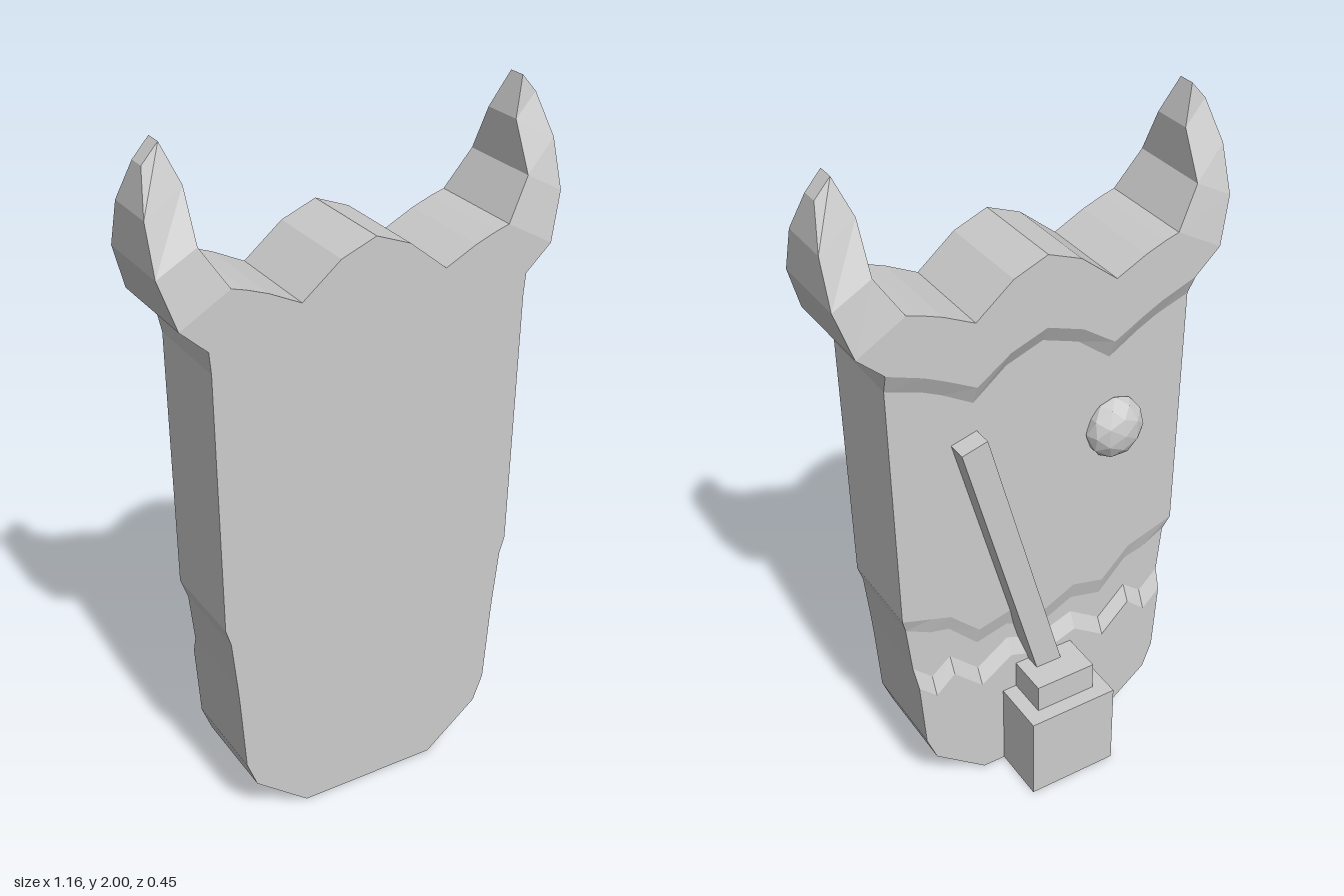
import * as THREE from 'three';

const material = new THREE.MeshStandardMaterial({ color: 0xcccccc, flatShading: true });
const FRONT = 0.225;

function addMesh(parent, name, geometry, x = 0, y = 0, z = 0) {
  const mesh = new THREE.Mesh(geometry, material);
  mesh.name = name;
  mesh.position.set(x, y, z);
  parent.add(mesh);
  return mesh;
}

// Skin a stack of equal loops, listed from top to bottom, and cap both ends.
function loft(loops) {
  const pos = [];
  const quad = (a, b, c, d) => pos.push(...a, ...b, ...c, ...a, ...c, ...d);
  const n = loops[0].length;
  for (let k = 0; k < loops.length - 1; k++) {
    const top = loops[k], low = loops[k + 1];
    for (let i = 0; i < n; i++) {
      const j = (i + 1) % n;
      quad(top[i], top[j], low[j], low[i]);
    }
  }
  const first = loops[0], last = loops[loops.length - 1];
  for (let i = 0; i < n / 2 - 1; i++) {
    quad(first[n - 1 - i], first[n - 2 - i], first[i + 1], first[i]);
    quad(last[i], last[i + 1], last[n - 2 - i], last[n - 1 - i]);
  }
  const g = new THREE.BufferGeometry();
  g.setAttribute('position', new THREE.Float32BufferAttribute(pos, 3));
  g.computeVertexNormals();
  return g;
}

// Mirror a half row of heights into a loop: carved back edge, then flat front edge.
function bodyLoop({ xs, ys, z }) {
  const half = xs.map((x, i) => [x, ys[i]]);
  const row = [...half.slice(1).reverse().map(([x, y]) => [-x, y]), ...half];
  return [
    ...row.map(([x, y]) => [x, y, z]),
    ...row.slice().reverse().map(([x, y]) => [x, y, FRONT]),
  ];
}

function bodyGeometry() {
  const cols = edge => [0, 0.11, 0.21, 0.3, 0.36, edge];
  const rows = [
    // brow
    { xs: [0, 0.1, 0.21, 0.3, 0.36, 0.4], ys: [1.71, 1.67, 1.58, 1.625, 1.648, 1.66], z: -0.075 },
    { xs: cols(0.54), ys: [1.6, 1.56, 1.48, 1.53, 1.56, 1.58], z: -0.075 },
    { xs: cols(0.465), ys: [1.5, 1.46, 1.39, 1.44, 1.47, 1.51], z: -0.075 },
    { xs: cols(0.46), ys: [1.45, 1.41, 1.33, 1.385, 1.415, 1.45], z: -0.05 },
    // upper lip and mouth groove
    { xs: cols(0.45), ys: [0.52, 0.575, 0.55, 0.64, 0.66, 0.69], z: -0.05 },
    { xs: cols(0.435), ys: [0.46, 0.515, 0.49, 0.585, 0.6, 0.64], z: -0.035 },
    { xs: cols(0.42), ys: [0.42, 0.46, 0.39, 0.48, 0.43, 0.49], z: -0.035 },
    // toothed lower lip and chin
    { xs: cols(0.415), ys: [0.37, 0.41, 0.34, 0.43, 0.375, 0.43], z: -0.06 },
    { xs: cols(0.4), ys: [0.21, 0.21, 0.21, 0.21, 0.21, 0.21], z: -0.06 },
    { xs: [0, 0.1, 0.2, 0.27, 0.33, 0.37], ys: [0.13, 0.13, 0.13, 0.13, 0.13, 0.13], z: -0.06 },
    { xs: [0, 0.05, 0.1, 0.14, 0.18, 0.21], ys: [0, 0, 0, 0, 0, 0], z: -0.06 },
  ];
  return loft(rows.map(bodyLoop));
}

// Horn rungs from tip to root: inner point, outer point and their half depths.
function hornGeometry(side) {
  const rungs = [
    [[0.51, 2.0, 0.025], [0.555, 1.95, 0.025]],
    [[0.47, 1.9, 0.06], [0.58, 1.84, 0.08]],
    [[0.47, 1.77, 0.125], [0.58, 1.71, 0.125]],
    [[0.4, 1.66, 0.15], [0.54, 1.58, 0.15]],
  ];
  return loft(rungs.map(([inner, outer]) => {
    const [a, b] = side > 0 ? [inner, outer] : [outer, inner];
    const at = ([x, y, h], dir) => [side * x, y, 0.075 + dir * h];
    return [at(a, -1), at(b, -1), at(b, 1), at(a, 1)];
  }));
}

export function createModel() {
  const group = new THREE.Group();
  group.name = 'hornedMask';

  addMesh(group, 'maskBody', bodyGeometry());
  addMesh(group, 'leftHorn', hornGeometry(1));
  addMesh(group, 'rightHorn', hornGeometry(-1));

  // Stepped block under the chin
  addMesh(group, 'lowerBlock', new THREE.BoxGeometry(0.28, 0.28, 0.19), 0, 0.14, -0.135);
  addMesh(group, 'upperBlock', new THREE.BoxGeometry(0.19, 0.1, 0.15), 0, 0.32, -0.11);

  // Leaning bar from the block up to the left eye
  const dx = 0.235, dy = 0.88;
  const bar = addMesh(group, 'leaningBar',
    new THREE.BoxGeometry(0.08, Math.hypot(dx, dy), 0.08), dx / 2 + 0.005, 0.35 + dy / 2, -0.067);
  bar.rotation.z = -Math.atan2(dx, dy);

  // Faceted eye on the other side
  const eye = addMesh(group, 'eye', new THREE.IcosahedronGeometry(0.095, 1), -0.23, 1.1, -0.055);
  eye.scale.set(0.95, 1, 0.65);

  return group;
}
